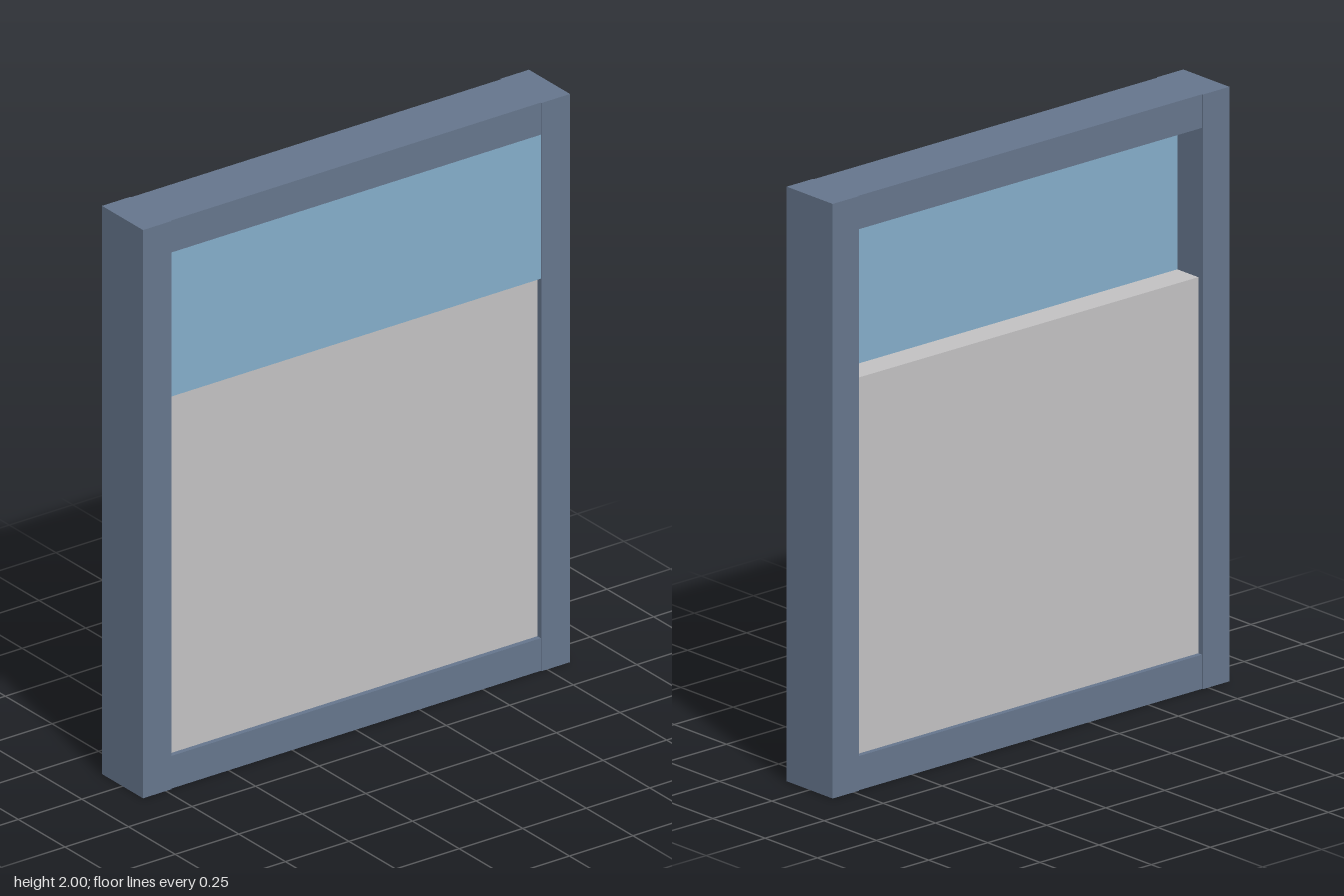
import * as THREE from 'three';

const frameMat = new THREE.MeshStandardMaterial({ name: 'slate frame', color: 0x66768d });
const panelMat = new THREE.MeshStandardMaterial({ name: 'pale grey panel', color: 0xc3c2c3 });
const glassMat = new THREE.MeshStandardMaterial({ name: 'blue glass', color: 0x85aeca });

// Box given by its lower and upper limits on each axis
function block(name, mat, [x0, x1], [y0, y1], [z0, z1]) {
  const mesh = new THREE.Mesh(new THREE.BoxGeometry(x1 - x0, y1 - y0, z1 - z0), mat);
  mesh.name = name;
  mesh.position.set((x0 + x1) / 2, (y0 + y1) / 2, (z0 + z1) / 2);
  return mesh;
}

export function createModel() {
  const model = new THREE.Group();
  model.name = 'window';

  const outer = 0.84, inner = 0.728;      // half widths of frame and opening
  const sill = 0.115, split = 1.38, head = 1.887;
  const opening = [-inner, inner];
  const railDepth = [-0.106, 0.106];

  // Frame: two full-height stiles, with slightly shallower rails between
  model.add(
    block('leftStile', frameMat, [inner, outer], [0, 2], [-0.11, 0.11]),
    block('rightStile', frameMat, [-outer, -inner], [0, 2], [-0.11, 0.11]),
    block('bottomRail', frameMat, opening, [0, sill], railDepth),
    block('topRail', frameMat, opening, [head, 2], railDepth),
  );

  // Solid lower panel, recessed on both faces
  model.add(block('lowerPanel', panelMat, opening, [sill, split], [-0.088, 0.088]));

  // Upper glass, flush with the front and deep set from the back
  model.add(block('upperGlass', glassMat, opening, [split, head], [0.012, 0.106]));

  return model;
}
